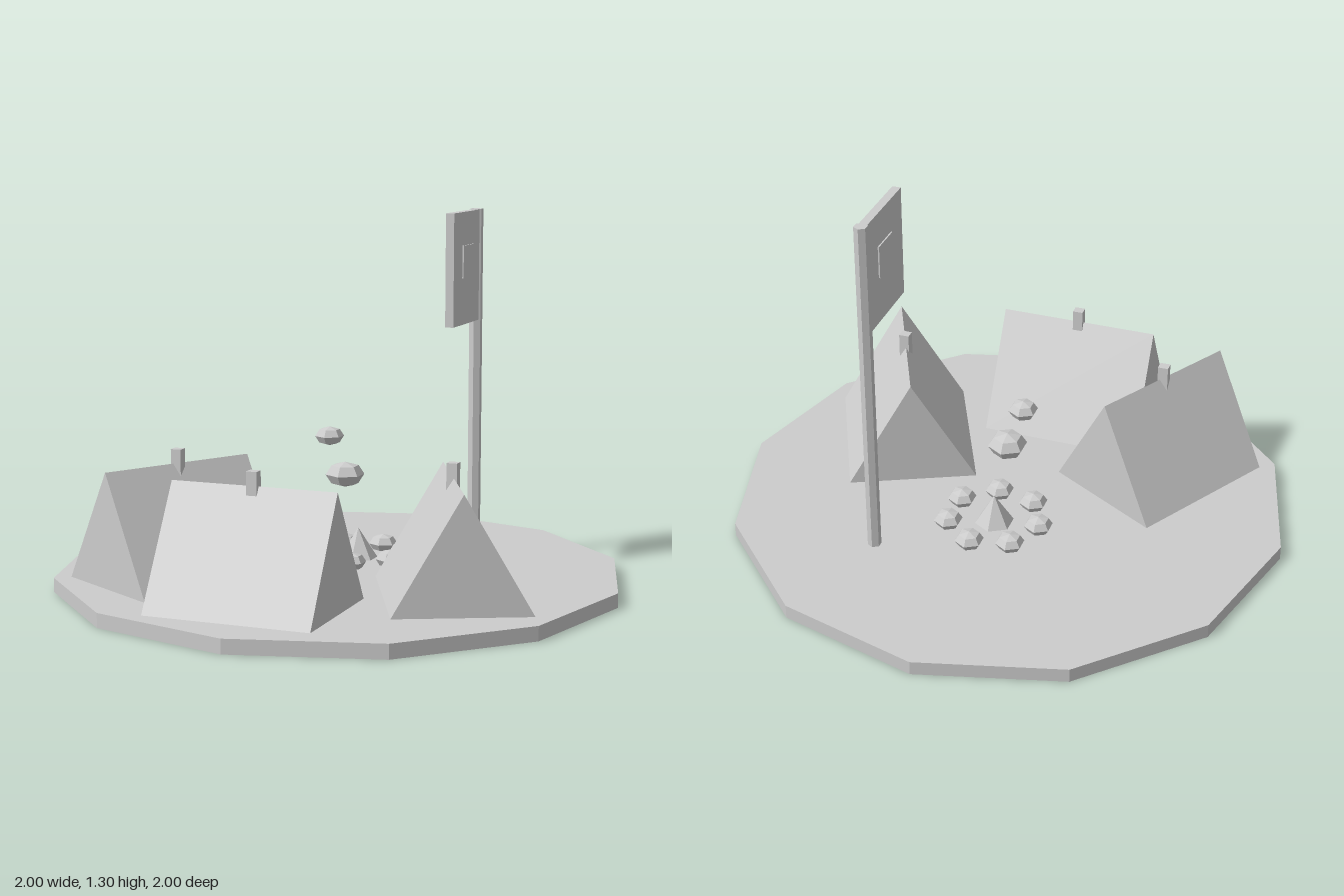
import * as THREE from 'three';

const GROUND = 0.05; // top of the base disc

export function createModel() {
  const model = new THREE.Group();
  model.name = 'campsite';
  const grey = new THREE.MeshStandardMaterial({ color: 0xcccccc });
  grey.name = 'plain grey';

  const add = (name, geometry, x, y, z, parent = model) => {
    // split the corners so that every facet is flat
    const flat = geometry.index ? geometry.toNonIndexed() : geometry;
    flat.computeVertexNormals();
    const mesh = new THREE.Mesh(flat, grey);
    mesh.name = name;
    mesh.position.set(x, y, z);
    parent.add(mesh);
    return mesh;
  };

  // twelve-sided ground
  add('ground', new THREE.CylinderGeometry(1, 1, GROUND, 12), 0, GROUND / 2, 0);

  // three ridge tents, each with a small post on the ridge
  const length = 0.585, width = 0.465, height = 0.4;
  const gable = new THREE.Shape([
    new THREE.Vector2(-width / 2, 0),
    new THREE.Vector2(width / 2, 0),
    new THREE.Vector2(0, height),
  ]);
  const tentGeometry = new THREE.ExtrudeGeometry(gable, { depth: length, bevelEnabled: false });
  tentGeometry.translate(0, 0, -length / 2);
  const tents = [
    ['leftTent', 0.493, 0.233, 25],
    ['frontTent', -0.06, 0.61, 90],
    ['rightTent', -0.47, 0.325, 150],
  ];
  for (const [name, x, z, degrees] of tents) {
    const tent = new THREE.Group();
    tent.name = name;
    model.add(tent);
    tent.position.set(x, GROUND, z);
    add('canvas', tentGeometry, 0, 0, 0, tent).rotation.y = THREE.MathUtils.degToRad(degrees);
    add('ridgePost', new THREE.BoxGeometry(0.037, 0.1, 0.034), 0, height, 0, tent);
  }

  // campfire: flame, ring of seven stones, two puffs of smoke
  const fire = new THREE.Group();
  fire.name = 'campfire';
  fire.position.set(0, GROUND, -0.18);
  model.add(fire);
  add('flame', new THREE.ConeGeometry(0.07, 0.11, 6), 0, 0.055, 0, fire);
  const pebble = (name, r, x, y, z) =>
    add(name, new THREE.SphereGeometry(r, 6, 4).rotateY(Math.PI / 6).scale(1, 0.65, 1), x, y, z, fire);
  for (let i = 0; i < 7; i++) {
    const a = Math.PI + (i * Math.PI * 2) / 7;
    pebble('stone', 0.052, 0.165 * Math.cos(a), 0.022, 0.165 * Math.sin(a));
  }
  pebble('lowerSmoke', 0.07, -0.035, 0.31, 0.042);
  pebble('upperSmoke', 0.052, -0.085, 0.45, 0.065);

  // flagpole with a flag that has a raised square on both sides
  const flagpole = new THREE.Group();
  flagpole.name = 'flagpole';
  flagpole.position.set(0.352, 0, -0.444);
  model.add(flagpole);
  add('pole', new THREE.CylinderGeometry(0.024, 0.024, 1.25, 6), 0, GROUND + 0.625, 0, flagpole);
  add('flag', new THREE.BoxGeometry(0.03, 0.395, 0.295), 0, 1.1, 0.157, flagpole);
  for (const side of [-1, 1]) {
    add('flagSquare', new THREE.BoxGeometry(0.006, 0.115, 0.115), side * 0.017, 1.123, 0.152, flagpole);
  }

  return model;
}
